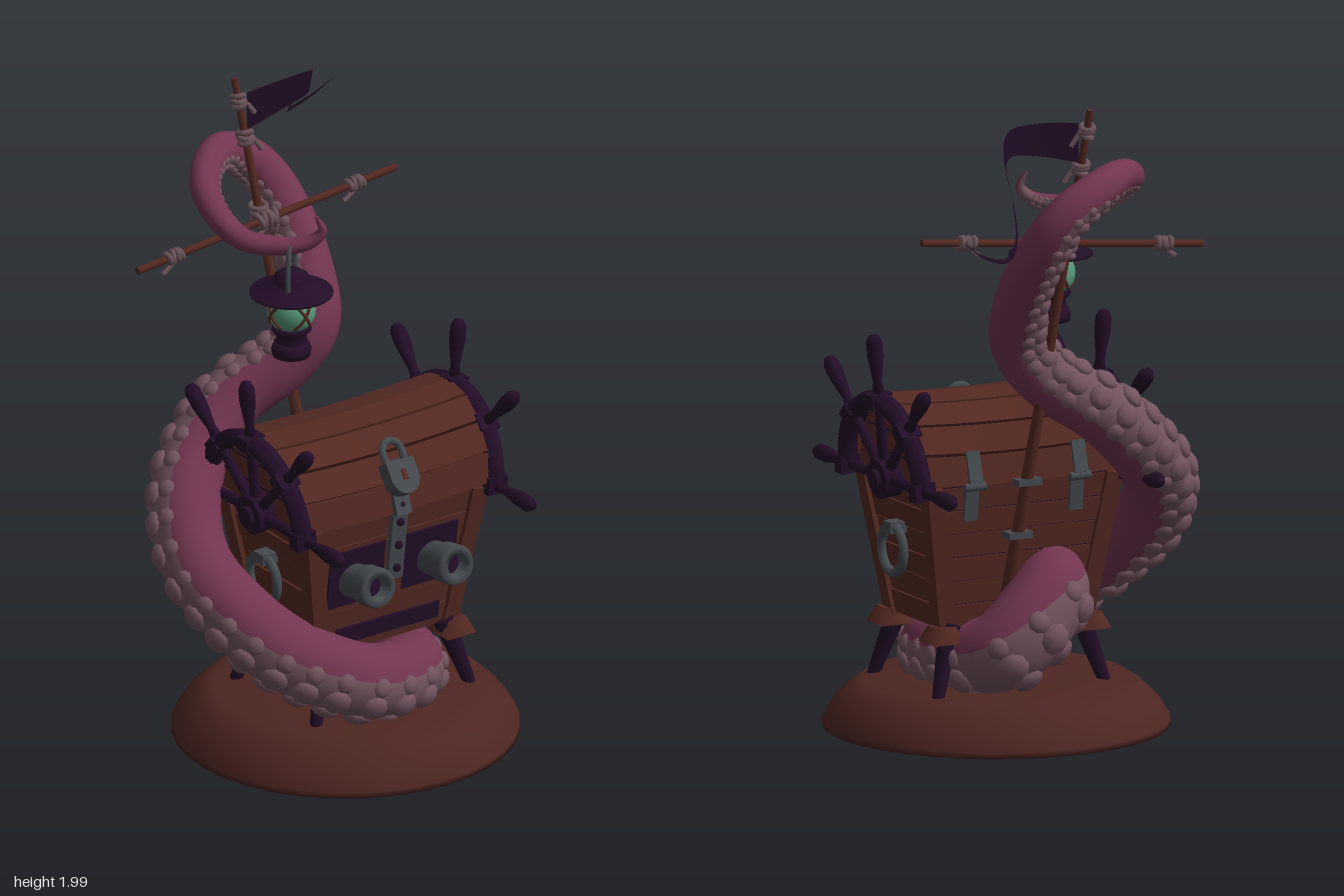
import * as THREE from 'three';
import { mergeGeometries } from 'three/addons/utils/BufferGeometryUtils.js';

const paint = (name, color) => Object.assign(new THREE.MeshStandardMaterial({ color }), { name });
const V = (x, y, z) => new THREE.Vector3(x, y, z);

export function createModel() {
  const wood = paint('chest wood', 0x532821), earth = paint('base brown', 0x4d2621);
  const purple = paint('dark purple', 0x230d27), iron = paint('iron', 0x44494e);
  const skin = paint('tentacle skin', 0x723550), under = paint('tentacle underside', 0x72535e);
  const glass = paint('lantern glass', 0x56987a), rope = paint('rope', 0x6a5258);
  const cloth = paint('flag cloth', 0x1e0b22);
  cloth.side = THREE.DoubleSide;
  const root = new THREE.Group();

  const add = (parent, name, geo, mat, x = 0, y = 0, z = 0) => {
    const m = new THREE.Mesh(geo, mat);
    m.name = name;
    m.position.set(x, y, z);
    parent.add(m);
    return m;
  };
  const group = (parent, name, x = 0, y = 0, z = 0) => {
    const g = new THREE.Group();
    g.name = name;
    g.position.set(x, y, z);
    parent.add(g);
    return g;
  };
  const box = (w, h, d) => new THREE.BoxGeometry(w, h, d);
  const cyl = (a, b, h, n = 12) => new THREE.CylinderGeometry(a, b, h, n);
  const lathe = (pts, n = 20) => new THREE.LatheGeometry(pts.map(p => new THREE.Vector2(...p)), n);
  const UP = V(0, 1, 0);
  const aim = (m, a, b) => {
    m.position.copy(a).lerp(b, 0.5);
    m.quaternion.setFromUnitVectors(UP, b.clone().sub(a).normalize());
    return m;
  };
  const pole = (parent, name, a, b, r0, r1, mat, n = 8) =>
    aim(add(parent, name, cyl(r1, r0, a.distanceTo(b), n), mat), a, b);
  const bend = (geo, rule) => {
    const p = geo.attributes.position;
    for (let i = 0; i < p.count; i++) p.setXYZ(i, ...rule(p.getX(i), p.getY(i), p.getZ(i)));
    geo.computeVertexNormals();
    return geo;
  };

  // Mound
  add(root, 'base', lathe([[0, 0], [0.53, 0], [0.53, 0.02], [0.5, 0.07], [0.455, 0.115], [0.405, 0.148], [0.25, 0.16], [0, 0.164]], 36), earth, 0.025, 0, 0.17);

  // Chest: flared plank rows, then a barrel lid
  const chest = group(root, 'chest', 0.05, 0, 0.17);
  const hx = y => 0.25 + (y - 0.34) * 0.16, hz = y => 0.17 + (y - 0.34) * 0.13;
  const slab = (y0, y1, inset) => bend(box(1, y1 - y0, 1).translate(0, (y0 + y1) / 2, 0),
    (x, y, z) => [x * 2 * (hx(y) - inset), y, z * 2 * (hz(y) - inset)]);
  add(chest, 'chestCore', slab(0.345, 0.8, 0.01), purple);
  for (let i = 0; i < 6; i++) add(chest, 'bodyPlanks', slab(0.35 + i * 0.075, 0.421 + i * 0.075, i % 2 * 0.004), wood);

  const lidRule = (x, y, z) => [x * (0.66 + 0.18 * (y - 0.8)), y - 0.012 * (1 - 4 * x * x), z];
  const n = 8, R = 0.235;
  for (let i = 0; i < n; i++) {
    const a = (i + 0.5) * Math.PI / n;
    const g = new THREE.BoxGeometry(1, 0.03, 2 * R * Math.tan(Math.PI / n / 2) * 0.97, 10, 1, 1);
    g.rotateX(Math.PI / 2 - a).translate(0, 0.81 + R * Math.sin(a), R * Math.cos(a));
    add(chest, 'lidPlank', bend(g, lidRule), wood);
  }
  add(chest, 'lidCore', new THREE.CylinderGeometry(0.222, 0.222, 0.65, 24, 1, false, 0, Math.PI).rotateZ(Math.PI / 2), wood, 0, 0.8, 0);
  for (const s of [-1, 1]) for (const y of [0.87, 0.94]) add(chest, 'lidEndSeam', box(0.006, 0.006, 2 * Math.sqrt(0.049 - (y - 0.8) ** 2)), purple, s * 0.325, y, 0);

  // Corner posts, brackets and splayed legs
  for (const sx of [-1, 1]) for (const sz of [-1, 1]) {
    const at = (y, o) => V(sx * (hx(y) + o), y, sz * (hz(y) + o));
    aim(add(chest, 'cornerPost', box(0.055, 0.47, 0.055), wood), at(0.34, -0.015), at(0.8, -0.015));
    add(chest, 'cornerBracket', cyl(0.045, 0.075, 0.05, 4).rotateY(Math.PI / 4), wood, sx * 0.25, 0.335, sz * 0.17);
    pole(chest, 'leg', V(sx * 0.22, 0.36, sz * 0.165), V(sx * 0.29, 0.13, sz * 0.215), 0.034, 0.018, purple);
  }

  // Front panels, cannons and latch
  const plate = (name, w, h, x, y, mat, out = 0.003, depth = 0.008) => {
    const m = add(chest, name, box(w, h, depth), mat, x, y, hz(y) + out);
    m.rotation.x = 0.13;
    return m;
  };
  plate('gunPanel', 0.47, 0.19, 0, 0.61, purple);
  plate('lowerPanel', 0.38, 0.055, 0, 0.405, purple);
  plate('panelStrip', 0.07, 0.2, 0, 0.61, wood, 0.006);
  for (const s of [-1, 1]) {
    const g = group(chest, 'cannon', s * 0.145, 0.59, 0.16);
    g.rotation.x = Math.PI / 2 - 0.16;
    add(g, 'cannonBarrel', lathe([[0.053, 0], [0.056, 0.12], [0.063, 0.125], [0.064, 0.18], [0.057, 0.192], [0.036, 0.192], [0.033, 0.14], [0, 0.14]], 20), iron);
    add(g, 'cannonBore', cyl(0.034, 0.034, 0.006, 16), purple, 0, 0.145, 0);
  }
  plate('latchStrap', 0.055, 0.24, 0, 0.69, iron, 0.016, 0.02);
  const lidStrap = add(chest, 'lidStrap', box(0.055, 0.17, 0.02), iron, 0, 0.88, 0.24);
  lidStrap.rotation.x = -0.33;
  for (const y of [0.61, 0.69, 0.77, 0.83]) add(chest, 'rivet', new THREE.SphereGeometry(0.014, 8, 6), purple, 0, y, hz(Math.min(y, 0.8)) + 0.027);
  const lock = group(chest, 'padlock', 0, 0.935, 0.245);
  lock.rotation.x = -0.6;
  add(lock, 'lockBody', box(0.1, 0.065, 0.05), iron);
  add(lock, 'lockBottom', cyl(0.05, 0.05, 0.05, 14).rotateX(Math.PI / 2), iron, 0, -0.025, 0);
  add(lock, 'shackle', new THREE.TorusGeometry(0.034, 0.012, 8, 14, Math.PI), iron, 0, 0.065, 0);
  for (const s of [-1, 1]) add(lock, 'shackleLeg', cyl(0.012, 0.012, 0.045, 8), iron, s * 0.034, 0.045, 0);
  add(lock, 'keyhole', box(0.016, 0.035, 0.006), wood, 0, -0.015, 0.026);

  // Rear hinges
  for (const x of [-0.18, 0.18]) {
    add(chest, 'hingeLeaf', box(0.045, 0.1, 0.012), iron, x, 0.74, -0.226).rotation.x = -0.13;
    add(chest, 'hingeLeaf', box(0.045, 0.1, 0.012), iron, x, 0.86, -0.247).rotation.x = 0.28;
    add(chest, 'hingePin', cyl(0.014, 0.014, 0.07).rotateZ(Math.PI / 2), iron, x, 0.8, -0.25);
  }

  // Half ship's wheels and ring handles on both ends
  for (const s of [-1, 1]) {
    const tilt = group(chest, 'wheel', s * 0.355, 0.8, 0);
    tilt.rotation.z = -s * 0.09;
    const w = group(tilt, 'wheelParts');
    w.rotation.y = Math.PI / 2;
    add(w, 'wheelRim', bend(new THREE.TorusGeometry(0.242, 0.027, 8, 28, Math.PI), (x, y, z) => [x, y, z * 1.25]), purple);
    add(w, 'wheelHub', cyl(0.062, 0.062, 0.06, 16).rotateX(Math.PI / 2), purple);
    add(w, 'hubCap', cyl(0.032, 0.032, 0.09, 12).rotateX(Math.PI / 2), purple);
    for (let i = 0; i < 5; i++) {
      const arm = group(w, 'spoke');
      arm.rotation.z = (i - 2) * Math.PI / 4;
      add(arm, 'spokeRod', cyl(0.015, 0.018, 0.23, 8), purple, 0, 0.13, 0);
      add(arm, 'spokeHandle', lathe([[0, 0.25], [0.018, 0.27], [0.014, 0.3], [0.025, 0.38], [0.025, 0.425], [0.016, 0.445], [0, 0.45]], 10), purple);
      add(arm, 'rimBlock', box(0.055, 0.045, 0.07), purple, 0, 0.242, 0);
    }
    add(chest, 'handleRing', new THREE.TorusGeometry(0.073, 0.015, 8, 24).rotateY(Math.PI / 2), iron, s * 0.33, 0.575, 0);
    add(chest, 'handleBracket', box(0.07, 0.035, 0.05), iron, s * 0.315, 0.645, 0);
  }

  // Mast, yard and rope lashings
  const rig = group(root, 'rigging');
  const mastFoot = V(0.09, 0.45, -0.03), mastTop = V(-0.035, 1.99, -0.33);
  const yardL = V(-0.48, 1.51, -0.21), yardR = V(0.48, 1.605, -0.21);
  pole(rig, 'mast', mastFoot, mastTop, 0.022, 0.011, wood);
  pole(rig, 'yard', yardL, yardR, 0.012, 0.012, wood);
  const lash = (a, b, t, r, turns) => {
    const g = group(rig, 'lashing');
    aim(g, a, b);
    g.position.lerpVectors(a, b, t);
    for (let i = 0; i < turns; i++) {
      const ring = add(g, 'ropeTurn', new THREE.TorusGeometry(r, 0.009, 6, 12).rotateX(Math.PI / 2), rope, 0, (i - (turns - 1) / 2) * 0.014, 0);
      ring.rotation.set(0.25 * Math.sin(i * 2), 0, 0.25 * Math.cos(i * 2));
    }
    add(g, 'ropeEnd', cyl(0.007, 0.009, 0.06, 6), rope, r + 0.008, -0.025, 0.01).rotation.z = 0.5;
  };
  lash(yardL, yardR, 0.14, 0.017, 4);
  lash(yardL, yardR, 0.84, 0.017, 4);
  lash(yardL, yardR, 0.5, 0.022, 5);
  lash(mastFoot, mastTop, 0.72, 0.025, 5);
  lash(mastFoot, mastTop, 0.88, 0.021, 3);
  lash(mastFoot, mastTop, 0.955, 0.019, 3);
  for (const t of [0.12, 0.23]) {
    const clamp = add(rig, 'mastClamp', box(0.08, 0.02, 0.05), iron);
    clamp.position.lerpVectors(mastFoot, mastTop, t);
  }

  // Pennant: x, y, z, half height
  const flagPts = [[-0.01, 1.885, -0.3, 0.062], [0.11, 1.905, -0.3, 0.052], [0.23, 1.91, -0.32, 0.04], [0.3, 1.87, -0.41, 0.024],
    [0.328, 1.77, -0.52, 0.016], [0.37, 1.675, -0.62, 0.01], [0.44, 1.637, -0.69, 0.007], [0.52, 1.655, -0.7, 0.006], [0.577, 1.7, -0.68, 0.002]];
  const track = pts => {
    const path = new THREE.CatmullRomCurve3(pts.map(p => V(p[0], p[1], p[2])));
    const size = new THREE.CatmullRomCurve3(pts.map((p, i) => V(p[3], i, 0)));
    size.curveType = path.curveType = 'catmullrom';
    return { path, size: t => size.getPoint(t).x };
  };
  const flag = track(flagPts);
  add(rig, 'pennant', bend(new THREE.PlaneGeometry(1, 2, 48, 1), (x, y) => {
    const t = x + 0.5, p = flag.path.getPoint(t), h = y * flag.size(t);
    return [p.x + h * 0.4 * t, p.y + h, p.z + h * 0.3 * t];
  }), cloth);

  // Tentacle: x, y, z, radius along its centre line
  const arm = track([[-0.1, 0.5, 0.05, 0.09], [-0.02, 0.43, -0.08, 0.125], [0.13, 0.29, -0.09, 0.125], [0.19, 0.24, 0.1, 0.11],
    [0.14, 0.235, 0.34, 0.11], [-0.08, 0.275, 0.425, 0.115], [-0.3, 0.385, 0.34, 0.115], [-0.42, 0.52, 0.2, 0.112],
    [-0.455, 0.64, 0.06, 0.108], [-0.4, 0.78, -0.07, 0.108], [-0.29, 0.9, -0.15, 0.105], [-0.15, 1.02, -0.17, 0.1],
    [0, 1.12, -0.12, 0.094], [0.09, 1.24, -0.1, 0.088], [0.13, 1.4, -0.195, 0.079], [0.12, 1.56, -0.305, 0.073],
    [0.06, 1.675, -0.36, 0.066], [-0.05, 1.745, -0.355, 0.059], [-0.16, 1.765, -0.285, 0.05], [-0.25, 1.735, -0.18, 0.045],
    [-0.268, 1.68, -0.08, 0.04], [-0.235, 1.63, 0, 0.035], [-0.16, 1.612, 0.065, 0.03], [-0.085, 1.622, 0.12, 0.023],
    [-0.045, 1.66, 0.145, 0.015], [-0.06, 1.71, 0.135, 0.005]]);
  const frame = t => {
    const p = arm.path.getPoint(t), T = arm.path.getTangent(t), step = THREE.MathUtils.smoothstep;
    // suckers face out and down round the chest, backward on the rise, inward on the hook
    const N = V(p.x - 0.05, 0, p.z - 0.17).normalize().add(V(0, -1.1, 0)).normalize();
    N.lerp(V(-0.68, 0.12, -0.72), step(t, 0.25, 0.38));
    N.lerp(V(-0.8, 0.2, -0.5), step(t, 0.48, 0.58));
    N.lerp(V(-0.1, 1.5, -0.15).sub(p).normalize(), step(t, 0.6, 0.74));
    N.addScaledVector(T, -N.dot(T)).normalize();
    return { p, N, B: T.clone().cross(N), r: arm.size(t) };
  };
  const radial = (f, a) => f.N.clone().multiplyScalar(Math.cos(a)).addScaledVector(f.B, Math.sin(a));
  const sweep = (a0, a1, cols, rows = 180) => {
    const pos = [], nor = [], idx = [];
    for (let i = 0; i <= rows; i++) {
      const f = frame(i / rows);
      for (let j = 0; j <= cols; j++) {
        const d = radial(f, a0 + (a1 - a0) * j / cols);
        nor.push(...d);
        pos.push(...f.p.clone().addScaledVector(d, f.r));
        const k = i * (cols + 1) + j, m = k + cols + 1;
        if (i < rows && j < cols) idx.push(k, k + 1, m, k + 1, m + 1, m);
      }
    }
    const g = new THREE.BufferGeometry();
    g.setAttribute('position', new THREE.Float32BufferAttribute(pos, 3));
    g.setAttribute('normal', new THREE.Float32BufferAttribute(nor, 3));
    return g.setIndex(idx);
  };
  const tentacle = group(root, 'tentacle'), edge = 1.2;
  add(tentacle, 'tentacleBack', sweep(edge, 2 * Math.PI - edge, 14), skin);
  add(tentacle, 'tentacleUnderside', sweep(-edge, edge, 8), under);
  const cups = [];
  for (let t = 0.04; t < 0.93;) {
    const f = frame(t);
    for (const [a, k] of [[-1.05, 0.28], [-0.4, 0.4], [0.4, 0.4], [1.05, 0.28]]) {
      const d = radial(f, a), c = f.p.clone().addScaledVector(d, f.r * 0.95);
      const g = new THREE.SphereGeometry(f.r * k, 9, 6).scale(1, 0.6, 1);
      cups.push(g.applyQuaternion(new THREE.Quaternion().setFromUnitVectors(UP, d)).translate(c.x, c.y, c.z));
    }
    const speed = arm.path.getPoint(t + 0.005).distanceTo(arm.path.getPoint(t)) / 0.005;
    t += f.r * 0.78 / speed;
  }
  add(tentacle, 'suckers', mergeGeometries(cups), under);

  // Lantern hanging from the tip
  const lantern = group(root, 'lantern', -0.12, 0, 0.09);
  lantern.rotation.y = Math.PI / 4;
  add(lantern, 'lanternFoot', lathe([[0, 1.25], [0.058, 1.25], [0.062, 1.27], [0.052, 1.295], [0, 1.3]]), purple);
  add(lantern, 'lanternBase', lathe([[0.05, 1.29], [0.045, 1.315], [0.062, 1.335], [0.058, 1.35], [0, 1.35]]), purple);
  add(lantern, 'lanternGlobe', new THREE.SphereGeometry(0.075, 20, 14), glass, 0, 1.4, 0);
  add(lantern, 'lanternBrim', lathe([[0, 1.445], [0.06, 1.448], [0.128, 1.455], [0.128, 1.462], [0.06, 1.485], [0.052, 1.5], [0.052, 1.515], [0.03, 1.53], [0, 1.532]], 24), purple);
  for (let i = 0; i < 4; i++) {
    const turn = group(lantern, 'globeGuard', 0, 1.4, 0);
    turn.rotation.y = i * Math.PI / 2 + Math.PI / 4;
    for (const s of [-1, 1]) {
      const wire = new THREE.TorusGeometry(0.076, 0.005, 6, 12, 1.5).rotateZ(-0.75).rotateX(s * 0.6);
      add(turn, 'guardWire', wire, wood);
    }
  }
  const bail = new THREE.CatmullRomCurve3([V(-0.06, 1.45, 0), V(-0.06, 1.56, 0), V(-0.04, 1.61, 0), V(0, 1.622, 0), V(0.04, 1.61, 0), V(0.06, 1.56, 0), V(0.06, 1.45, 0)]);
  add(lantern, 'lanternBail', new THREE.TubeGeometry(bail, 28, 0.008, 6), iron);
  return root;
}
